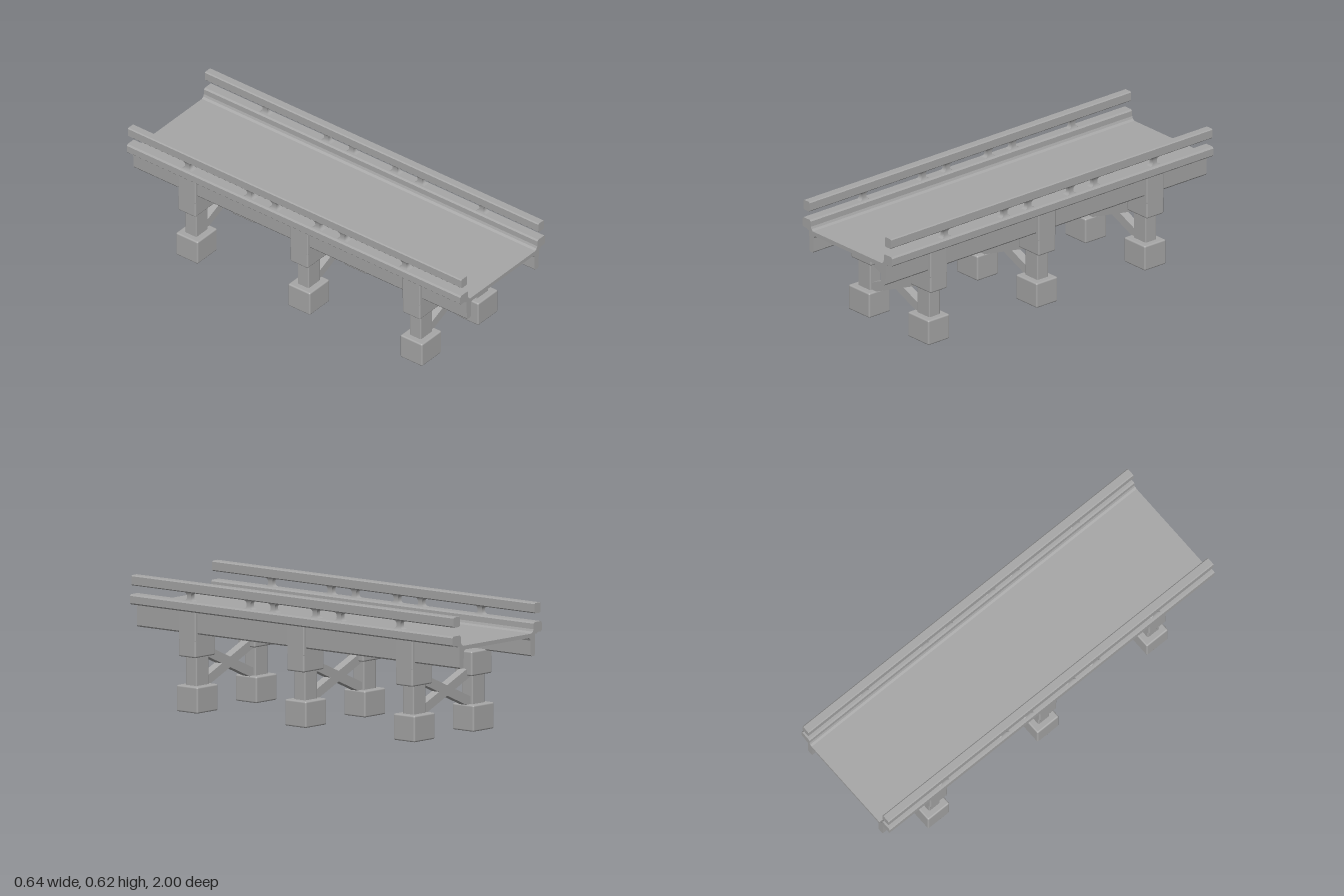
import * as THREE from 'three';
import { RoundedBoxGeometry } from 'three/addons/geometries/RoundedBoxGeometry.js';

export function createModel() {
  const model = new THREE.Group();
  model.name = 'bridge';
  const concrete = new THREE.MeshStandardMaterial({ color: 0xa6a6a6 });
  concrete.name = 'concrete grey';

  const add = (parent, name, geometry) => {
    const mesh = new THREE.Mesh(geometry, concrete);
    mesh.name = name;
    parent.add(mesh);
    return mesh;
  };

  // Softly rounded block given by its limits; side mirrors it in x
  const block = (parent, name, side, [x0, x1], [y0, y1], [z0, z1], r = 0.008) => {
    const geometry = new RoundedBoxGeometry(x1 - x0, y1 - y0, z1 - z0, 2, r);
    geometry.translate(side * (x0 + x1) / 2, (y0 + y1) / 2, (z0 + z1) / 2);
    return add(parent, name, geometry);
  };

  // Cross-section swept along the bridge
  const sweep = (parent, name, side, points, z0, z1) => {
    const shape = new THREE.Shape(points.map(([x, y]) => new THREE.Vector2(side * x, y)));
    const geometry = new THREE.ExtrudeGeometry(shape, { depth: z1 - z0, bevelEnabled: false });
    geometry.translate(0, 0, z0);
    return add(parent, name, geometry);
  };

  // Rail post, narrow at the waist and flared at both ends
  const postGeometry = () => {
    const geometry = new THREE.BoxGeometry(1, 0.05, 1, 1, 6, 1);
    const p = geometry.attributes.position;
    for (let i = 0; i < p.count; i++) {
      const t = Math.abs(p.getY(i)) / 0.025;
      p.setX(i, p.getX(i) * (0.024 + 0.014 * t ** 3));
      p.setZ(i, p.getZ(i) * (0.026 + 0.05 * t ** 4));
    }
    geometry.computeVertexNormals();
    return geometry;
  };

  // Road deck
  const deck = new THREE.BoxGeometry(0.53, 0.019, 2);
  deck.translate(0, 0.4735, 0);
  add(model, 'deck', deck);

  for (const side of [-1, 1]) {
    const edge = new THREE.Group();
    edge.name = side > 0 ? 'leftEdge' : 'rightEdge';
    model.add(edge);

    // Girder with a small fillet under the deck
    sweep(edge, 'girder', side, [
      [0.247, 0.375], [0.267, 0.375], [0.272, 0.382], [0.274, 0.488], [0.225, 0.476],
      [0.225, 0.465], [0.236, 0.461], [0.241, 0.45], [0.242, 0.381],
    ], -1, 1);

    // Curb with rounded corners, flaring into the deck
    sweep(edge, 'curb', side, [
      [0.24, 0.48], [0.285, 0.48], [0.29, 0.486], [0.315, 0.486], [0.322, 0.493],
      [0.322, 0.527], [0.315, 0.535], [0.27, 0.535], [0.263, 0.528], [0.262, 0.502],
      [0.257, 0.491], [0.247, 0.483],
    ], -1, 1);

    // Handrail
    sweep(edge, 'handrail', side, [
      [0.275, 0.576], [0.309, 0.576], [0.314, 0.581], [0.314, 0.62], [0.309, 0.625],
      [0.275, 0.625], [0.27, 0.62], [0.27, 0.581],
    ], -1, 1);
    for (const z of [0.65, 0.28, 0.13, -0.13, -0.28, -0.65]) {
      add(edge, 'railPost', postGeometry()).position.set(side * 0.293, 0.556, z);
    }
  }

  // Three piers, each with two legs and a cross brace
  for (const z of [0.678, 0.005, -0.668]) {
    const pier = new THREE.Group();
    pier.name = 'pier';
    pier.position.z = z;
    model.add(pier);
    for (const side of [-1, 1]) {
      block(pier, 'footing', side, [0.138, 0.288], [0, 0.126], [-0.066, 0.066]);
      block(pier, 'column', side, [0.168, 0.257], [0.11, 0.28], [-0.034, 0.034], 0.006);
      block(pier, 'pierCap', side, [0.141, 0.288], [0.263, 0.381], [-0.053, 0.053]);
      block(pier, 'girderBracket', side, [0.255, 0.288], [0.34, 0.49], [-0.053, 0.053], 0.006);

      // Diagonal brace
      const brace = new THREE.BoxGeometry(0.42, 0.046, 0.044);
      brace.rotateZ(side * Math.atan(0.43));
      brace.translate(0, 0.21, 0);
      add(pier, 'crossBrace', brace);
    }
  }
  return model;
}
